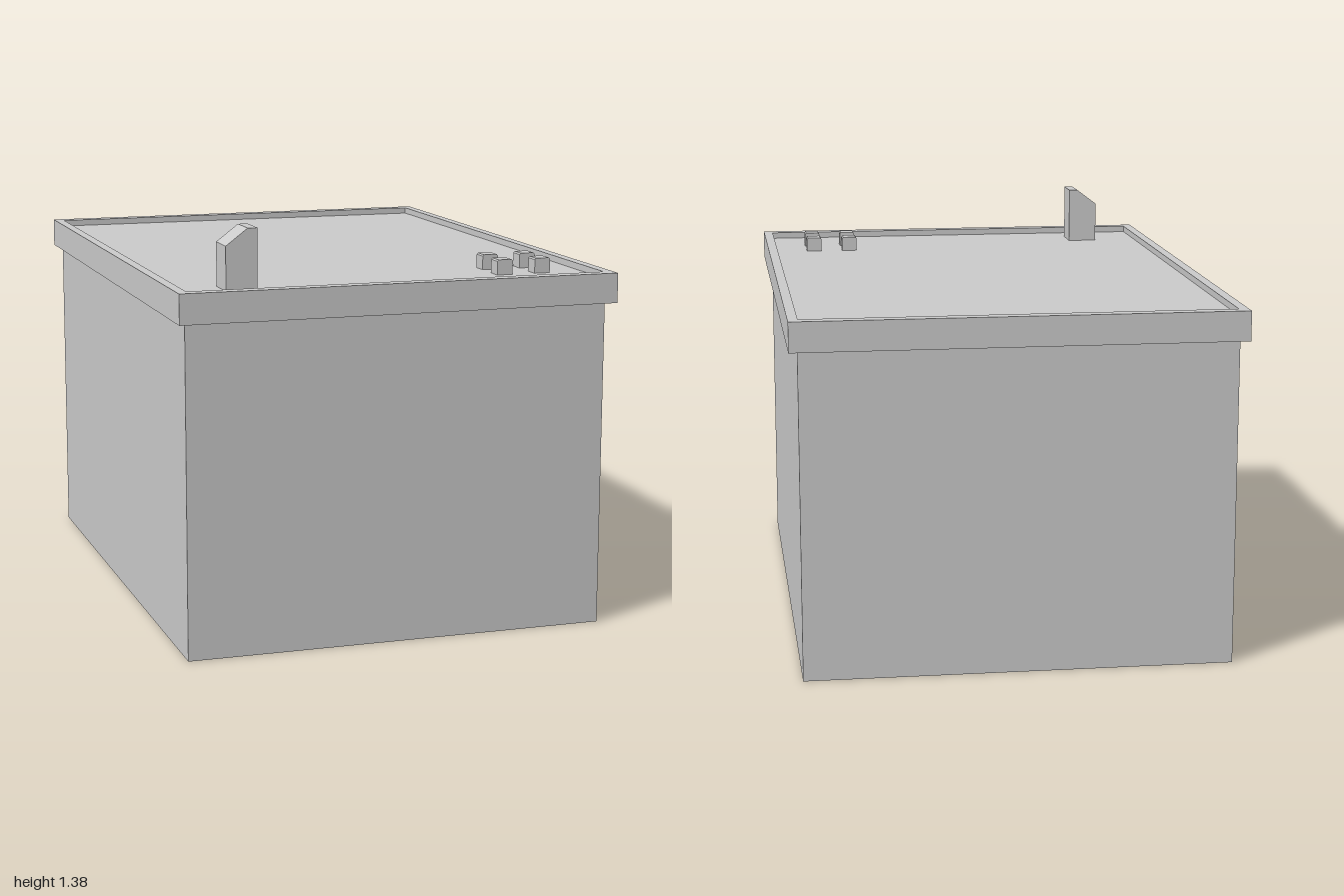
import * as THREE from 'three';

const grey = new THREE.MeshStandardMaterial({ color: 0xcccccc, flatShading: true });
const greyThin = new THREE.MeshStandardMaterial({ color: 0xcccccc, flatShading: true, side: THREE.DoubleSide });

const ROOF_Y = 1.18;

function part(name, geometry, material = grey) {
  const mesh = new THREE.Mesh(geometry, material);
  mesh.name = name;
  return mesh;
}

function rectangle(PathType, halfX, halfZ) {
  return new PathType([
    new THREE.Vector2(-halfX, -halfZ), new THREE.Vector2(halfX, -halfZ),
    new THREE.Vector2(halfX, halfZ), new THREE.Vector2(-halfX, halfZ),
  ]);
}

export function createModel() {
  const model = new THREE.Group();
  model.name = 'flatRoofBuilding';

  // Four thin walls, open at the bottom and the top
  const wallGeometry = new THREE.CylinderGeometry(Math.SQRT1_2, Math.SQRT1_2, 1.1, 4, 1, true);
  wallGeometry.rotateY(Math.PI / 4).scale(1.435, 1, 1.925);
  const walls = part('walls', wallGeometry, greyThin);
  walls.position.set(-0.002, 0.55, 0.003);
  model.add(walls);

  // Overhanging rim around the roof
  const ring = rectangle(THREE.Shape, 0.745, 1);
  ring.holes.push(rectangle(THREE.Path, 0.712, 0.957));
  const rimGeometry = new THREE.ExtrudeGeometry(ring, { depth: 0.1, bevelEnabled: false });
  rimGeometry.rotateX(-Math.PI / 2).translate(0, 1.102, 0);
  model.add(part('roofRim', rimGeometry));

  // Roof sheet, sunk slightly below the rim
  const roof = part('roof', new THREE.PlaneGeometry(1.424, 1.914).rotateX(-Math.PI / 2), greyThin);
  roof.position.y = ROOF_Y;
  model.add(roof);

  // Roof access hut with a sloping top
  const profile = new THREE.Shape([
    new THREE.Vector2(-0.555, ROOF_Y), new THREE.Vector2(-0.45, ROOF_Y),
    new THREE.Vector2(-0.45, 1.38), new THREE.Vector2(-0.482, 1.38),
    new THREE.Vector2(-0.555, 1.325),
  ]);
  const hut = part('roofHut', new THREE.ExtrudeGeometry(profile, { depth: 0.115, bevelEnabled: false }));
  hut.position.z = 0.742;
  model.add(hut);

  // Two by two cluster of vents with slightly narrowed tops
  const half = 0.0275;
  const ventSection = new THREE.Shape([
    new THREE.Vector2(-half, 0), new THREE.Vector2(half, 0),
    new THREE.Vector2(half, 0.046), new THREE.Vector2(half - 0.004, 0.051),
    new THREE.Vector2(-half + 0.004, 0.051), new THREE.Vector2(-half, 0.046),
  ]);
  const ventGeometry = new THREE.ExtrudeGeometry(ventSection, { depth: 2 * half, bevelEnabled: false });
  ventGeometry.translate(0, 0, -half);
  const vents = new THREE.Group();
  vents.name = 'roofVents';
  for (const x of [0.432, 0.567]) {
    for (const z of [0.627, 0.758]) {
      const vent = part('vent', ventGeometry);
      vent.position.set(x, ROOF_Y, z);
      vents.add(vent);
    }
  }
  model.add(vents);

  return model;
}
